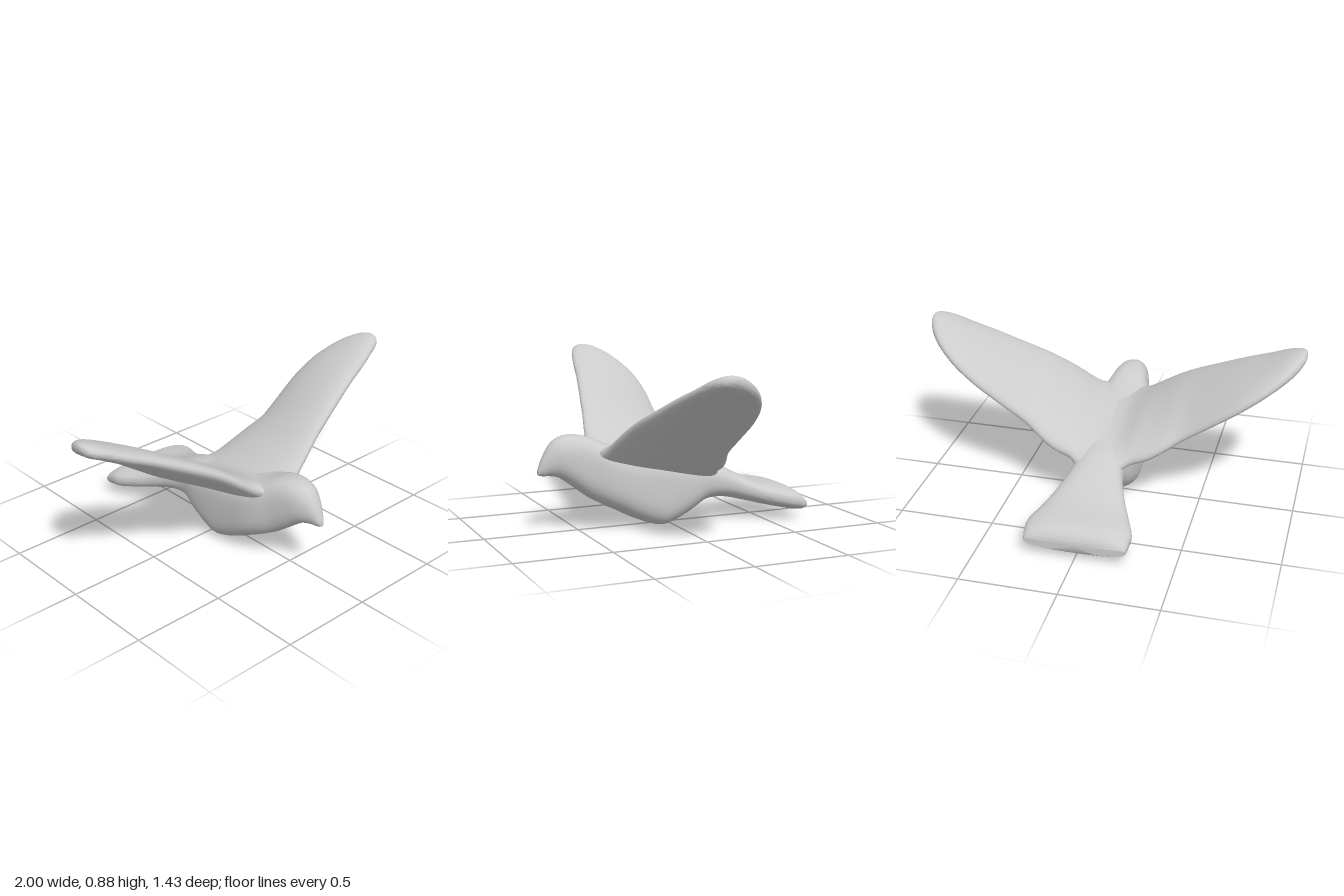
import * as THREE from 'three';
import { toCreasedNormals } from 'three/addons/utils/BufferGeometryUtils.js';

const material = new THREE.MeshStandardMaterial({ color: 0xcccccc });

// Catmull-Rom blend of the station rows
function smoothRows(rows, steps) {
  const out = [];
  const last = rows.length - 1;
  for (let i = 0; i < last; i++) {
    const [p, a, b, q] = [rows[Math.max(i - 1, 0)], rows[i], rows[i + 1], rows[Math.min(i + 2, last)]];
    for (let s = 0; s < steps; s++) {
      const t = s / steps;
      out.push(a.map((_, k) => 0.5 * (2 * a[k] + (b[k] - p[k]) * t
        + (2 * p[k] - 5 * a[k] + 4 * b[k] - q[k]) * t * t
        + (3 * a[k] - p[k] - 3 * b[k] + q[k]) * t * t * t)));
    }
  }
  out.push(rows[last]);
  return out;
}

// Skin a list of closed rings and close both ends
function loft(rings, flip) {
  const n = rings[0].length;
  const positions = rings.flat(2);
  const index = [];
  const tri = (a, b, c) => (flip ? index.push(a, c, b) : index.push(a, b, c));
  for (let i = 0; i < rings.length - 1; i++) {
    for (let j = 0; j < n; j++) {
      const a = i * n + j, b = i * n + (j + 1) % n;
      tri(a, a + n, b);
      tri(b, a + n, b + n);
    }
  }
  [0, rings.length - 1].forEach((r, end) => {
    const centre = positions.length / 3;
    for (let k = 0; k < 3; k++) positions.push(rings[r].reduce((sum, p) => sum + p[k], 0) / n);
    for (let j = 0; j < n; j++) {
      const a = r * n + j, b = r * n + (j + 1) % n;
      if (end) tri(centre, b, a);
      else tri(centre, a, b);
    }
  });
  const geometry = new THREE.BufferGeometry();
  geometry.setAttribute('position', new THREE.Float32BufferAttribute(positions, 3));
  geometry.setIndex(index);
  return toCreasedNormals(geometry, 0.8);
}

// Superellipse ring as unit [cos, sin] pairs
function unitRing(power, count) {
  const bend = (v) => Math.sign(v) * Math.abs(v) ** (2 / power);
  return Array.from({ length: count }, (_, j) => {
    const a = (j / count) * Math.PI * 2;
    return [bend(Math.cos(a)), bend(Math.sin(a))];
  });
}

// Beak, head, body and fanned tail: z, top, bottom, half width, squareness
const BODY = [
  [0.713, 0.33, 0.302, 0.012, 2],
  [0.69, 0.39, 0.295, 0.03, 2],
  [0.65, 0.455, 0.293, 0.054, 2.1],
  [0.6, 0.49, 0.28, 0.08, 2.3],
  [0.53, 0.5, 0.23, 0.1, 2.6],
  [0.45, 0.485, 0.17, 0.12, 2.8],
  [0.38, 0.455, 0.13, 0.145, 2.9],
  [0.3, 0.425, 0.09, 0.162, 3],
  [0.2, 0.4, 0.04, 0.166, 3.2],
  [0.08, 0.38, 0, 0.166, 3.5],
  [0, 0.365, 0.012, 0.163, 3.2],
  [-0.1, 0.345, 0.055, 0.153, 2.8],
  [-0.2, 0.325, 0.108, 0.135, 2.5],
  [-0.3, 0.285, 0.115, 0.15, 2.5],
  [-0.4, 0.235, 0.095, 0.185, 2.6],
  [-0.5, 0.197, 0.07, 0.228, 2.7],
  [-0.6, 0.177, 0.047, 0.268, 2.8],
  [-0.66, 0.162, 0.035, 0.268, 2.8],
  [-0.695, 0.14, 0.032, 0.264, 2.8],
  [-0.713, 0.115, 0.045, 0.258, 2.8],
];

function bodyGeometry() {
  return loft(smoothRows(BODY, 4).map(([z, top, bottom, half, power]) =>
    unitRing(power, 48).map(([c, s]) =>
      [c * half, (top + bottom) / 2 + s * (top - bottom) / 2, z])));
}

// Wing from spine to tip: x, leading z, leading y, trailing z, trailing y, thickness
const WING = [
  [0, 0.47, 0.38, -0.33, 0.225, 0.13],
  [0.06, 0.455, 0.39, -0.31, 0.23, 0.135],
  [0.11, 0.425, 0.405, -0.255, 0.26, 0.14],
  [0.16, 0.398, 0.43, -0.222, 0.295, 0.14],
  [0.25, 0.375, 0.495, -0.213, 0.33, 0.135],
  [0.33, 0.352, 0.55, -0.19, 0.375, 0.13],
  [0.42, 0.33, 0.6, -0.157, 0.435, 0.125],
  [0.55, 0.295, 0.663, -0.157, 0.525, 0.12],
  [0.68, 0.262, 0.725, -0.157, 0.615, 0.112],
  [0.8, 0.235, 0.775, -0.13, 0.698, 0.102],
  [0.9, 0.208, 0.82, -0.07, 0.767, 0.092],
  [0.96, 0.185, 0.84, -0.005, 0.81, 0.078],
  [0.99, 0.16, 0.85, 0.05, 0.837, 0.05],
  [1, 0.125, 0.852, 0.09, 0.85, 0.018],
];

function wingGeometry(side) {
  const ring = unitRing(2.3, 40);
  return loft(smoothRows(WING, 4).map(([x, zl, yl, zt, yt, thick]) =>
    ring.map(([c, s]) => {
      const t = (c + 1) / 2;
      const camber = thick * 0.12 * (1 - c * c);
      return [side * x, yt + (yl - yt) * t + camber + s * thick / 2, zt + (zl - zt) * t];
    })), side < 0);
}

export function createModel() {
  const bird = new THREE.Group();
  bird.name = 'flyingBird';
  const add = (name, geometry) => {
    const mesh = new THREE.Mesh(geometry, material);
    mesh.name = name;
    bird.add(mesh);
  };
  add('bodyAndTail', bodyGeometry());
  add('leftWing', wingGeometry(1));
  add('rightWing', wingGeometry(-1));
  return bird;
}
